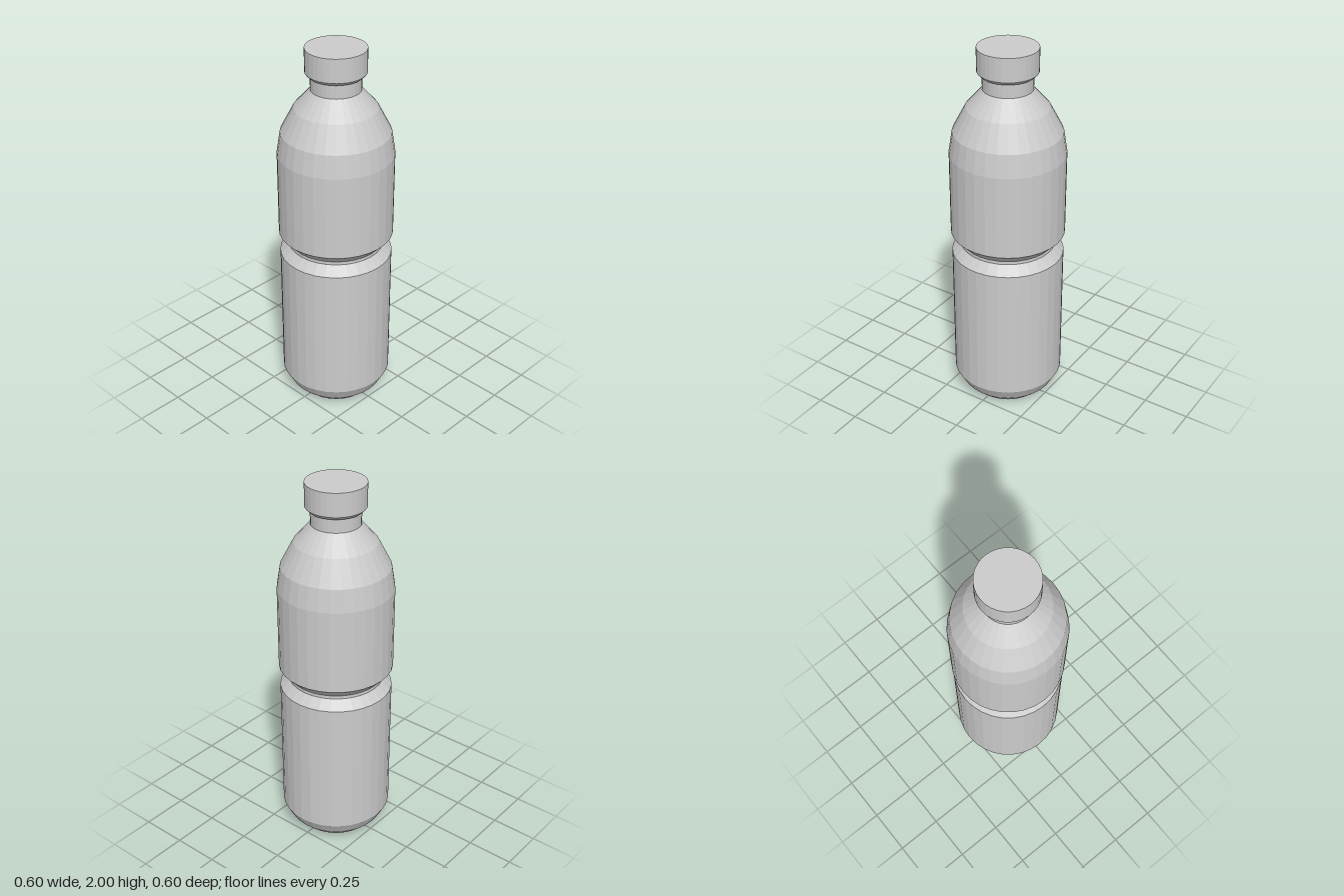
import * as THREE from 'three';

const SIDES = 32;

// Turn a [radius, height] profile, listed from bottom to top, into a faceted part
function turned(name, profile) {
  const points = profile.map(([r, y]) => new THREE.Vector2(r, y));
  const material = new THREE.MeshStandardMaterial({ color: 0xcccccc, flatShading: true });
  const mesh = new THREE.Mesh(new THREE.LatheGeometry(points, SIDES), material);
  mesh.name = name;
  return mesh;
}

export function createModel() {
  const bottle = new THREE.Group();
  bottle.name = 'bottle';

  // Body: recessed base, lower barrel, waist groove, upper barrel, shoulder, neck
  bottle.add(turned('body', [
    [0, 0.09], [0.125, 0.09], [0.157, 0], [0.2, 0],
    [0.257, 0.055], [0.295, 0.125], [0.295, 0.87],
    [0.25, 0.92], [0.25, 0.938], [0.3, 0.99],
    [0.3, 1.44], [0.281, 1.56], [0.213, 1.69],
    [0.128, 1.785], [0.128, 1.87],
  ]));

  // Screw cap with a chamfered lower lip
  bottle.add(turned('cap', [
    [0, 1.86], [0.14, 1.86], [0.155, 1.877], [0.155, 2], [0, 2],
  ]));

  return bottle;
}
